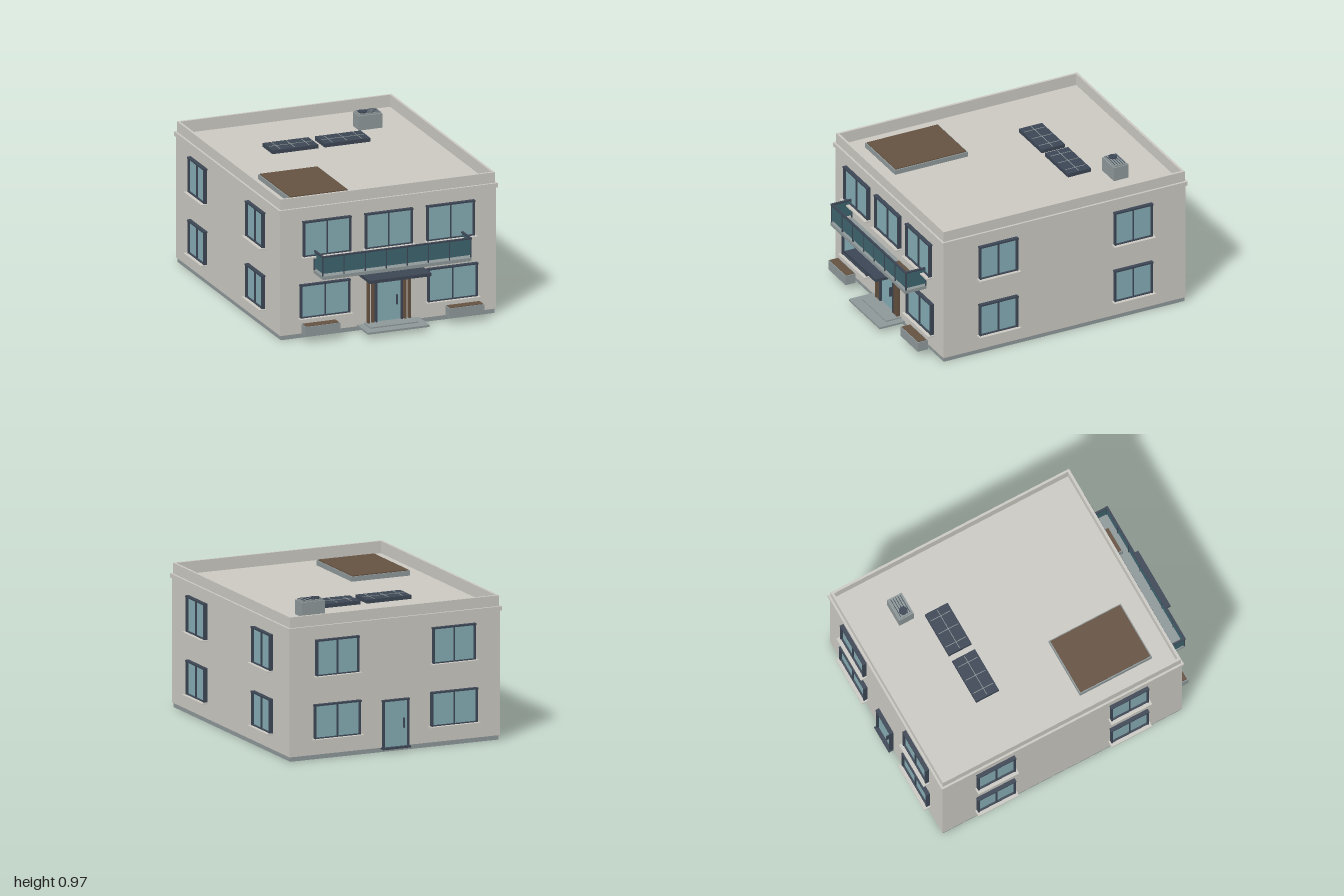
import * as THREE from 'three';

const mat = (name, color) => Object.assign(new THREE.MeshStandardMaterial({ color }), { name });
const M = {
  wall: mat('wall plaster', 0xcac8c1),
  dark: mat('dark frame', 0x3c4654),
  glass: mat('window glass', 0x84abb3),
  rail: mat('balcony glass', 0x3d636d),
  stone: mat('grey stone', 0x8e9798),
  wood: mat('brown wood', 0x645140),
};

// Box given by its minimum and maximum on each axis
function box(parent, name, m, x0, x1, y0, y1, z0, z1) {
  const mesh = new THREE.Mesh(new THREE.BoxGeometry(x1 - x0, y1 - y0, z1 - z0), m);
  mesh.position.set((x0 + x1) / 2, (y0 + y1) / 2, (z0 + z1) / 2);
  mesh.name = name;
  parent.add(mesh);
  return mesh;
}

function group(parent, name) {
  const g = new THREE.Group();
  g.name = name;
  parent.add(g);
  return g;
}

// Outer walls of the building
const X = 0.74, ZF = 0.79, ZB = -0.945;

// Rectangular ring, extruded upward
function ring(parent, name, out, inset, y0, y1) {
  const rect = (S, d) => {
    const s = new S();
    s.moveTo(-X - d, -ZF - d).lineTo(X + d, -ZF - d).lineTo(X + d, -ZB + d).lineTo(-X - d, -ZB + d).closePath();
    return s;
  };
  const shape = rect(THREE.Shape, out);
  shape.holes.push(rect(THREE.Path, -inset));
  const geo = new THREE.ExtrudeGeometry(shape, { depth: y1 - y0, bevelEnabled: false });
  geo.rotateX(-Math.PI / 2).translate(0, y0, 0);
  const mesh = new THREE.Mesh(geo, M.wall);
  mesh.name = name;
  parent.add(mesh);
}

// Local frame on a wall: z points outward, x runs along the wall
function onWall(parent, name, side, along) {
  const g = group(parent, name);
  if (side === 'front') g.position.set(along, 0, ZF);
  if (side === 'back') { g.position.set(along, 0, ZB); g.rotation.y = Math.PI; }
  if (side === 'left') { g.position.set(X, 0, along); g.rotation.y = Math.PI / 2; }
  if (side === 'right') { g.position.set(-X, 0, along); g.rotation.y = -Math.PI / 2; }
  return g;
}

function frame(g, h, y0, y1) {
  for (const s of [-1, 1]) {
    const c = s * (h - 0.005);
    box(g, 'frameJamb', M.dark, c - 0.005, c + 0.005, y0, y1 - 0.01, 0, 0.025);
  }
  box(g, 'frameHead', M.dark, -h - 0.003, h + 0.003, y1 - 0.01, y1, 0, 0.027);
  box(g, 'pane', M.glass, -h + 0.01, h - 0.01, y0, y1 - 0.01, 0, 0.009);
}

function addWindow(parent, side, along, width, y0, y1) {
  const g = onWall(parent, side + 'Window', side, along), h = width / 2;
  frame(g, h, y0, y1);
  box(g, 'frameFoot', M.dark, -h + 0.01, h - 0.01, y0, y0 + 0.006, 0, 0.022);
  box(g, 'mullion', M.dark, -0.003, 0.003, y0, y1 - 0.01, 0, 0.02);
  box(g, 'sill', M.wall, -h - 0.011, h + 0.011, y0 - 0.01, y0, 0, 0.046);
}

function addDoor(parent, side) {
  const g = onWall(parent, side + 'Door', side, 0);
  frame(g, 0.092, 0.03, 0.34);
  box(g, 'threshold', M.dark, -0.097, 0.097, 0.02, 0.032, -0.01, 0.035);
  box(g, 'handle', M.dark, 0.052, 0.058, 0.15, 0.215, 0.009, 0.03);
}

function addPlanter(parent, name, x0, x1, y0, y1, z0, z1) {
  const g = group(parent, name);
  box(g, 'trough', M.stone, x0, x1, y0, y1, z0, z1);
  box(g, 'soil', M.wood, x0 + 0.006, x1 - 0.006, y1 - 0.004, y1 + 0.003, z0 + 0.006, z1 - 0.006);
}

export function createModel() {
  const house = new THREE.Group();
  house.name = 'house';

  // Shell
  box(house, 'plinth', M.stone, -0.733, 0.733, 0, 0.03, ZB + 0.006, ZF - 0.006);
  box(house, 'walls', M.wall, -X, X, 0.03, 0.86, ZB, ZF);
  ring(house, 'cornice', 0.01, 0.01, 0.842, 0.87);
  ring(house, 'parapet', -0.004, 0.02, 0.855, 0.94);

  // Windows and doors
  const lower = [0.137, 0.36], upper = [0.545, 0.78];
  for (const s of [-1, 1]) {
    addWindow(house, 'front', s * 0.4375, 0.34, ...lower);
    addWindow(house, 'front', s * 0.424, 0.325, ...upper);
    addWindow(house, 'back', s * 0.41, 0.323, ...lower);
    addWindow(house, 'back', s * 0.41, 0.3, ...upper);
    for (const side of ['left', 'right'])
      for (const level of [lower, upper])
        addWindow(house, side, s < 0 ? -0.563 : 0.403, 0.272, ...level);
  }
  addWindow(house, 'front', 0, 0.325, ...upper);
  addDoor(house, 'front');
  addDoor(house, 'back');

  // Entrance: steps, canopy and wooden slats
  const entrance = group(house, 'entrance');
  box(entrance, 'lowerStep', M.stone, -0.212, 0.212, 0.028, 0.041, ZF, 0.97);
  box(entrance, 'upperStep', M.stone, -0.165, 0.165, 0.041, 0.049, ZF, 0.9);
  box(entrance, 'canopy', M.dark, -0.212, 0.212, 0.376, 0.397, ZF, 1);
  for (const x of [-0.141, -0.11, 0.11, 0.141])
    box(entrance, 'slat', M.wood, x - 0.007, x + 0.007, 0.045, 0.425, ZF, ZF + 0.025);

  // Balcony
  const balcony = group(house, 'balcony');
  const bx = 0.51, bz = 0.938;
  box(balcony, 'balconySlab', M.stone, -bx, bx, 0.423, 0.445, ZF, 0.945);
  box(balcony, 'frontGlass', M.rail, -bx + 0.004, bx - 0.004, 0.462, 0.57, bz - 0.004, bz);
  box(balcony, 'frontRail', M.dark, -bx - 0.004, bx + 0.004, 0.568, 0.578, bz - 0.008, bz + 0.006);
  for (const s of [-1, 1]) {
    const x = s * (bx - 0.004);
    box(balcony, 'sideGlass', M.rail, x - 0.002, x + 0.002, 0.462, 0.57, ZF, bz);
    box(balcony, 'sideRail', M.dark, x - 0.007, x + 0.007, 0.568, 0.578, ZF, bz);
    box(balcony, 'wallPost', M.dark, x - 0.004, x + 0.004, 0.445, 0.57, ZF, ZF + 0.008);
  }
  for (let i = 0; i <= 7; i++) {
    const x = -bx + 0.003 + i * (2 * bx - 0.006) / 7;
    box(balcony, 'railPost', M.dark, x - 0.003, x + 0.003, 0.445, 0.57, bz - 0.006, bz + 0.003);
  }

  // Planters
  addPlanter(house, 'balconyPlanter', 0.225, 0.41, 0.445, 0.5, 0.835, 0.895);
  addPlanter(house, 'leftPlanter', 0.375, 0.613, 0.045, 0.11, 0.835, 0.907);
  addPlanter(house, 'rightPlanter', -0.613, -0.375, 0.045, 0.11, 0.835, 0.907);

  // Roof terrace
  box(house, 'terraceBase', M.stone, -0.615, -0.205, 0.86, 0.892, 0.12, 0.642);
  box(house, 'terraceDeck', M.wood, -0.607, -0.213, 0.89, 0.898, 0.128, 0.634);

  // Solar panels
  for (const x0 of [-0.338, 0.02]) {
    const g = group(house, 'solarPanel'), w = 0.314;
    box(g, 'panel', M.dark, x0, x0 + w, 0.86, 0.885, -0.48, -0.315);
    for (const t of [0.18, 0.5, 0.82])
      box(g, 'panelLine', M.stone, x0 + t * w - 0.002, x0 + t * w + 0.002, 0.884, 0.887, -0.47, -0.325);
    box(g, 'panelCrossLine', M.stone, x0 + 0.01, x0 + w - 0.01, 0.884, 0.887, -0.399, -0.395);
  }

  // Rooftop air unit with fan and vents
  const unit = group(house, 'airUnit');
  box(unit, 'unitBody', M.stone, 0.353, 0.513, 0.86, 0.955, -0.655, -0.55);
  box(unit, 'unitLid', M.stone, 0.36, 0.506, 0.955, 0.965, -0.645, -0.56);
  for (let i = 0; i < 5; i++) {
    const z = -0.636 + i * 0.0168;
    box(unit, 'vent', M.dark, 0.368, 0.5, 0.964, 0.967, z - 0.002, z + 0.002);
  }
  const fan = new THREE.Mesh(new THREE.CylinderGeometry(0.028, 0.028, 0.01, 20), M.dark);
  fan.name = 'fan';
  fan.position.set(0.397, 0.967, -0.602);
  unit.add(fan);

  return house;
}
